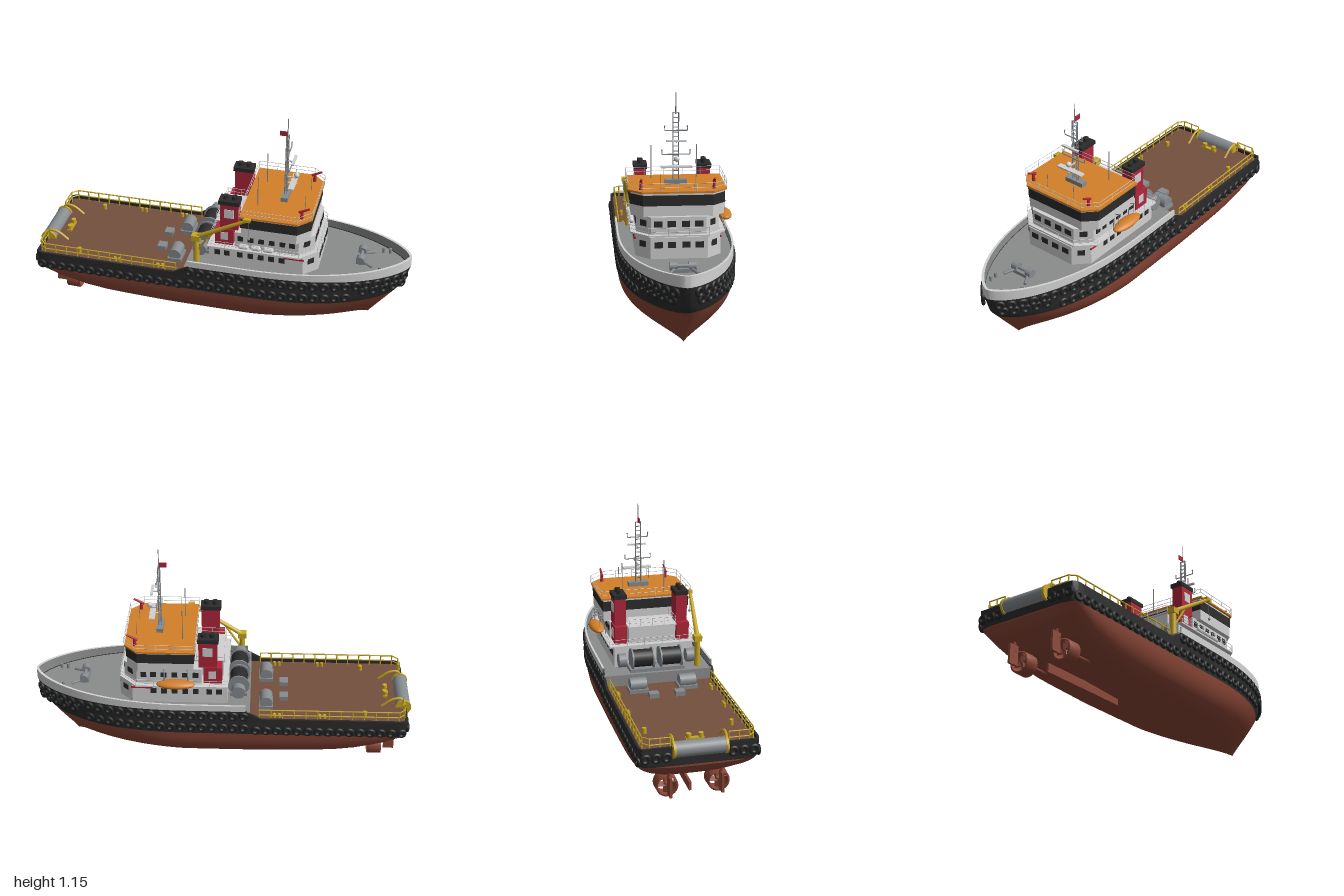
import * as THREE from 'three';
import { mergeGeometries, toCreasedNormals } from 'three/addons/utils/BufferGeometryUtils.js';

const paint = (name, color) => Object.assign(new THREE.MeshStandardMaterial({ color, side: THREE.DoubleSide }), { name });
const hullRed = paint('hull red', 0x8a4636), black = paint('black', 0x2b2b2b), rubber = paint('rubber', 0x222324);
const white = paint('light grey', 0xd2d2d2), deckGrey = paint('deck grey', 0x8a8c8b), brown = paint('deck brown', 0x75503f);
const orange = paint('orange', 0xd28029), yellow = paint('yellow', 0xc9a824), red = paint('red', 0xb0263a), steel = paint('steel', 0x878c90);

const clamp = THREE.MathUtils.clamp, lerp = THREE.MathUtils.lerp;
const V = (x, y, z) => new THREE.Vector3(x, y, z);

// ---- hull shape rules ----
const keelLine = [[-.97, .215], [-.94, .175], [-.85, .12], [-.74, .075], [-.58, .047], [-.26, .031], [0, .03], [1, .03]];
function keel(x) {
  const i = Math.max(1, keelLine.findIndex(p => p[0] >= x));
  const [a, b] = [keelLine[i - 1], keelLine[i]];
  return lerp(a[1], b[1], clamp((x - a[0]) / (b[0] - a[0]), 0, 1));
}
function beam(x) {
  if (x < -.93) return .292 - .015 * ((-.93 - x) / .04) ** 2;
  const s = clamp((x - .15) / .845, 0, 1);
  return .292 * Math.max(0, 1 - s ** 2.5) ** .66;
}
function hullPoint(x, y, side = 1, inset = 0) {
  const k = keel(x), n = lerp(3, 1.6, clamp((x - .2) / .795, 0, 1));
  const h = clamp((y - k) / (.26 - k), 0, 1);
  const z = beam(x) * (1 - (1 - h) ** n) ** (1 / n);
  const stem = .79 + .205 * clamp((y - .03) / .27, 0, 1);
  let px = x < .2 ? x : .2 + (x - .2) * (stem - .2) / .795;
  px += x < -.96 ? inset : -inset * Math.max(0, (x - .2) / .795);
  return V(px, y, side * Math.max(0, z - inset));
}
const stations = [-.97, -.96, -.95, -.94, -.93, -.9, -.85, -.8, -.7, -.6, -.5, -.4, -.3, -.21, -.13, -.05, .05, .12];
for (let i = 0; i <= 26; i++) stations.push(.17 + .825 * Math.sin(i / 26 * Math.PI / 2));
// a path of [station, side] running round the hull through the bow
const around = xs => [...xs.map(x => [x, 1]), ...xs.slice(0, -1).reverse().map(x => [x, -1])];
const closedPath = [[-.97, 0], ...around(stations), [-.97, 0]];
const forePath = around(stations.filter(x => x >= -.13));

function loft(rows) {
  const n = rows[0].length, index = [];
  for (let j = 0; j < rows.length - 1; j++) for (let i = 0; i < n - 1; i++) {
    const a = j * n + i, b = a + 1, c = a + n, d = c + 1;
    index.push(a, b, c, b, d, c);
  }
  const g = new THREE.BufferGeometry().setFromPoints(rows.flat());
  g.setIndex(index);
  return toCreasedNormals(g, .6);
}
const wall = (path, levels) => loft(levels.map(([f, inset]) => path.map(([x, s]) => hullPoint(x, f(x), s, inset))));
const deck = (xs, y) => loft([-1, 1].map(s => xs.map(x => hullPoint(x, y, s, .004))));

// ---- geometry helpers ----
const box = (w, h, d, x, y, z) => new THREE.BoxGeometry(w, h, d).translate(x, y, z);
function bar(a, b, r = .002, r2 = r, sides = 6) {
  const d = b.clone().sub(a), g = new THREE.CylinderGeometry(r2, r, d.length(), sides);
  g.applyQuaternion(new THREE.Quaternion().setFromUnitVectors(V(0, 1, 0), d.clone().normalize()));
  return g.translate(...a.clone().add(b).multiplyScalar(.5).toArray());
}
const drum = (r, len, x, y, z, sides = 20) => new THREE.CylinderGeometry(r, r, len, sides).rotateX(Math.PI / 2).translate(x, y, z);
const ball = (r, x, y, z) => new THREE.SphereGeometry(r, 14, 10).translate(x, y, z);
const both = make => [make(1), make(-1)].flat();
function rail(points, height, levels, gap, r) {
  const out = [], up = h => p => p.clone().setY(p.y + h);
  for (let i = 0; i < points.length - 1; i++) {
    const a = points[i], b = points[i + 1], n = Math.max(1, Math.round(a.distanceTo(b) / gap));
    for (const l of levels) out.push(bar(up(l * height)(a), up(l * height)(b), r));
    for (let k = 0; k <= n; k++) { const p = a.clone().lerp(b, k / n); out.push(bar(p, up(height)(p), r)); }
  }
  return out;
}
// house outline with chamfered front corners
const outline = (x0, x1, w, c) => [[x0, -w], [x1 - c, -w], [x1, c - w], [x1, w - c], [x1 - c, w], [x0, w]];
const prism = (pts, y0, y1) => new THREE.ExtrudeGeometry(new THREE.Shape(pts.map(p => new THREE.Vector2(...p))),
  { depth: y1 - y0, bevelEnabled: false }).rotateX(-Math.PI / 2).translate(0, y0, 0);
const ring = (pts, y) => pts.map(([x, z]) => V(x, y, z));

export function createModel() {
  const model = new THREE.Group();
  const add = (name, mat, geos) => {
    const list = [geos].flat(2).map(g => { const f = g.index ? g.toNonIndexed() : g; f.deleteAttribute('uv'); return f; });
    const mesh = new THREE.Mesh(mergeGeometries(list), mat);
    mesh.name = name;
    model.add(mesh);
  };

  // hull, sides, bulwark and decks
  const bottom = [];
  for (let i = 0; i <= 12; i++) bottom.push([x => lerp(keel(x), .225, (i / 12) ** 2), 0]);
  add('lowerHull', hullRed, wall(closedPath, bottom));
  const blackTop = x => lerp(.32, .366, clamp((x + .21) / .08, 0, 1));
  add('upperHull', black, wall(closedPath, [[() => .225, 0], [() => .26, 0], [blackTop, 0], [blackTop, .012], [() => .29, .012]]));
  const rim = x => .4 + .022 * clamp((x - .2) / .79, 0, 1) ** 1.5;
  add('foreBulwark', white, wall(forePath, [[() => .366, 0], [rim, 0], [rim, .01]]));
  add('foreBulwarkInside', deckGrey, wall(forePath, [[rim, .01], [() => .355, .012]]));
  add('aftDeck', brown, deck(stations.filter(x => x <= -.13), .302));
  add('foreDeck', deckGrey, [deck([-.15, ...stations.filter(x => x >= -.13)], .362), box(.01, .06, .57, -.147, .331, 0)]);

  // tyre fenders along the sides and on the transom
  const tyres = [];
  const tyre = (p, angle) => tyres.push(new THREE.TorusGeometry(.0175, .0095, 8, 16).rotateY(angle).translate(p.x, p.y, p.z));
  function tyreRow(y, x0, x1) {
    let last = null;
    for (let x = x0; x <= x1; x += .002) {
      const p = hullPoint(x, y);
      if (last && p.distanceTo(last) < .054) continue;
      last = p;
      const t = hullPoint(x + .002, y).sub(hullPoint(x - .002, y)), angle = Math.atan2(-t.z, t.x);
      tyre(p, angle);
      tyre(p.clone().setZ(-p.z), -angle);
    }
  }
  tyreRow(.336, -.12, .988);
  tyreRow(.25, -.94, -.17);
  tyreRow(.263, -.12, .74);
  tyreRow(.3, .775, .988);
  for (const z of [.16, .21, .26]) for (const s of [1, -1]) tyre(V(-.97, .27, s * z), Math.PI / 2);
  add('tyreFenders', rubber, tyres);

  // skeg, nozzles, propellers and rudders
  add('skeg', hullRed, box(.53, .045, .012, -.535, .0225, 0));
  const nozzle = [[.046, -.037], [.054, -.037], [.056, .03], [.05, .037], [.046, -.037]].map(p => new THREE.Vector2(...p));
  add('nozzles', hullRed, both(s => [
    new THREE.LatheGeometry(nozzle, 24).rotateZ(-Math.PI / 2).translate(-.817, .064, s * .127),
    box(.05, .05, .015, -.817, .13, s * .127),
    bar(V(-.84, .064, s * .127), V(-.5, .075, s * .127), .008, .008, 10),
    ...[0, 1, 2, 3].map(i => box(.006, .045, .025, 0, .022, 0).rotateY(.5).rotateX(i * Math.PI / 2).translate(-.825, .064, s * .127))]));
  add('rudders', hullRed, both(s => [box(.055, .1, .012, -.897, .085, s * .127), bar(V(-.89, .1, s * .127), V(-.89, .2, s * .127), .008)]));

  // deckhouse tiers and wheelhouse
  const tier1 = outline(-.035, .53, .21, .07), tier2 = outline(.1, .505, .205, .07), bridge = outline(.14, .485, .23, .06);
  const walk = outline(-.04, .525, .235, .085), roof = outline(.13, .495, .243, .065);
  add('deckhouse', white, [prism(tier1, .36, .47), prism(walk, .47, .478), prism(tier2, .478, .565), box(.12, .09, .25, .05, .52, 0),
    box(.16, .008, .26, .06, .569, 0), prism(bridge, .56, .68)]);
  add('wheelhouseWindows', black, prism(outline(.136, .489, .234, .062), .617, .669));
  add('wheelhouseRoof', orange, prism(roof, .68, .689));
  const windows = [];
  const windowRow = (y, h, w, x1, sideXs, frontZs) => {
    for (const s of [1, -1]) {
      for (const x of sideXs) windows.push(box(.03, h, .006, x, y, s * w));
      for (const z of frontZs) windows.push(box(.006, h, .04, x1, y, s * z));
      windows.push(box(.038, h, .006, 0, 0, 0).rotateY(s > 0 ? Math.PI / 4 : Math.PI * .75).translate(x1 - .035, y, s * (w - .035)));
    }
  };
  windowRow(.432, .03, .21, .53, [.01, .06, .13, .185, .24, .295, .35], [.035, .1]);
  windowRow(.53, .03, .205, .505, [.13, .185, .24, .295, .35, .4], [.035, .1]);
  add('cabinWindows', black, windows);
  add('nameBoards', red, both(s => box(.11, .009, .006, .41, .452, s * .211)));

  // funnels
  add('funnels', red, both(s => [box(.095, .095, .066, .042, .525, s * .167), box(.095, .15, .06, .068, .647, s * .165)]));
  add('funnelPanels', white, both(s => [box(.05, .05, .006, .068, .665, s * .195), box(.04, .045, .006, .045, .53, s * .2)]));
  add('funnelCaps', black, both(s => [box(.108, .022, .07, .066, .729, s * .165),
    ...[.045, .09].map(x => bar(V(x, .73, s * .165), V(x, .76, s * .165), .014, .014, 12))]));

  // thin light railings
  const aftTop = [[.13, -.125], [-.015, -.125], [-.015, .125], [.13, .125]];
  add('houseRailings', white, [rail(ring([...roof, roof[0]], .688), .042, [.5, 1], .09, .0013),
    rail(ring([...walk, walk[0]], .476), .038, [.5, 1], .09, .0013), rail(ring(aftTop, .572), .04, [.5, 1], .07, .0013)]);

  // mast with yards, radar, aerials and flag
  const legs = [[-.006, -.014], [.006, -.014], [.006, .014], [-.006, .014]], mast = [];
  legs.forEach(([x, z], i) => {
    const [x2, z2] = legs[(i + 1) % 4];
    mast.push(bar(V(.323 + x, .69, z), V(.323 + x * .7, 1.048, z), .0025));
    for (let y = .71; y < 1.05; y += .024) mast.push(bar(V(.323 + x * .8, y, z), V(.323 + x2 * .8, y, z2), .0016));
  });
  mast.push(bar(V(.323, 1.04, 0), V(.323, 1.147, 0), .003, .002));
  for (const [y, w] of [[.84, .07], [.96, .056]]) {
    mast.push(bar(V(.335, y, -w), V(.335, y, w), .003));
    mast.push(both(s => [bar(V(.335, y, s * w), V(.335, y + .02, s * w), .002), ball(.004, .335, y + .022, s * w)]));
  }
  mast.push(box(.035, .024, .11, .323, .7, 0));
  add('mast', steel, mast);
  add('radars', white, [box(.03, .008, .155, .36, .783, 0), box(.014, .007, .1, .36, .912, 0),
    bar(V(.33, .775, 0), V(.38, .775, 0), .005), bar(V(.33, .905, 0), V(.365, .905, 0), .004), ball(.014, .375, .825, 0), bar(V(.325, .81, 0), V(.375, .81, 0), .004)]);
  add('aerials', steel, both(s => [bar(V(.2, .688, s * .115), V(.2, .86, s * .115), .0022), bar(V(.44, .688, s * .085), V(.44, .765, s * .085), .0016)]));
  add('flag', red, box(.038, .026, .004, .302, 1.06, 0));
  add('fireMonitors', red, both(s => [bar(V(.44, .688, s * .18), V(.44, .73, s * .18), .009, .007, 10), bar(V(.425, .723, s * .18), V(.478, .75, s * .18), .007, .005, 10)]));

  // deck crane
  const crane = V(-.1, .515, .222), tip = V(.185, .685, .255);
  add('crane', yellow, [bar(V(-.1, .36, .222), crane, .017, .015, 12), box(.045, .03, .04, -.1, .515, .222), bar(crane, tip, .013, .009, 8),
    bar(V(-.09, .44, .222), crane.clone().lerp(tip, .35), .006), box(.035, .016, .02, .175, .682, .254)]);
  add('craneHook', steel, [bar(tip, V(.185, .575, .255), .0015), ball(.007, .185, .57, .255)]);

  // lifeboat with davit, and life raft canisters
  add('lifeboat', orange, new THREE.SphereGeometry(1, 24, 14).scale(.1, .021, .038).translate(.23, .505, -.254));
  add('davit', steel, [.17, .29].map(x => [bar(V(x, .478, -.215), V(x, .575, -.222), .003), bar(V(x, .575, -.222), V(x, .588, -.255), .003), bar(V(x, .585, -.25), V(x, .515, -.25), .0012)]));
  add('lifeRafts', white, [.15, .215, .28].map(x => new THREE.CapsuleGeometry(.014, .03, 5, 12).rotateZ(Math.PI / 2).translate(x, .495, .222)));

  // towing winch, deck winches, hatches and windlass
  add('winchDrums', black, both(s => drum(.046, .1, -.09, .425, s * .075)));
  add('winchFrames', steel, [both(s => [.02, .13].map(z => drum(.057, .008, -.09, .422, s * z))), box(.09, .02, .29, -.09, .37, 0),
    both(s => drum(.036, .04, -.09, .42, s * .18))]);
  add('deckWinches', steel, both(s => [drum(.034, .085, -.235, .34, s * .13), box(.075, .02, .1, -.235, .312, s * .13), box(.045, .025, .05, -.33, .314, s * .068)]));
  add('windlass', steel, [both(s => [drum(.022, .035, .735, .39, s * .045), bar(V(.735, .38, s * .035), V(.8, .37, s * .07), .008),
    ...[.84, .875].map(x => bar(V(x, .36, s * .088), V(x, .39, s * .088), .008, .008, 10))]), drum(.009, .1, .735, .39, 0), box(.045, .02, .1, .735, .37, 0)]);

  // stern roller with yellow horns
  add('sternRoller', steel, drum(.038, .24, -.958, .302, 0, 24));
  const horn = s => new THREE.TubeGeometry(new THREE.CatmullRomCurve3([V(-.97, .32, s * .128), V(-.945, .355, s * .128), V(-.9, .35, s * .128), V(-.845, .308, s * .128)]), 14, .007, 6);
  add('rollerHorns', yellow, both(s => [drum(.042, .012, -.958, .302, s * .126), horn(s)]));

  // yellow rails, tow pins and bollards on the aft deck
  const sideRail = s => rail([V(-.955, .302, s * .14), V(-.955, .302, s * .24), V(-.925, .302, s * .268), V(-.2, .302, s * .27)], .062, [.5, 1], .06, .0035);
  add('aftRailings', yellow, both(sideRail));
  add('towPins', yellow, [box(.022, .012, .09, -.87, .308, 0), both(s => bar(V(-.87, .302, s * .03), V(-.87, .335, s * .03), .013, .013, 10))]);
  add('aftBollards', yellow, both(s => [bar(V(-.75, .302, s * .215), V(-.75, .33, s * .215), .011, .011, 10),
    ...[-.54, -.515, -.305, -.28].map(x => bar(V(x, .302, s * .243), V(x, .325, s * .243), .008, .008, 8))]));
  return model;
}
